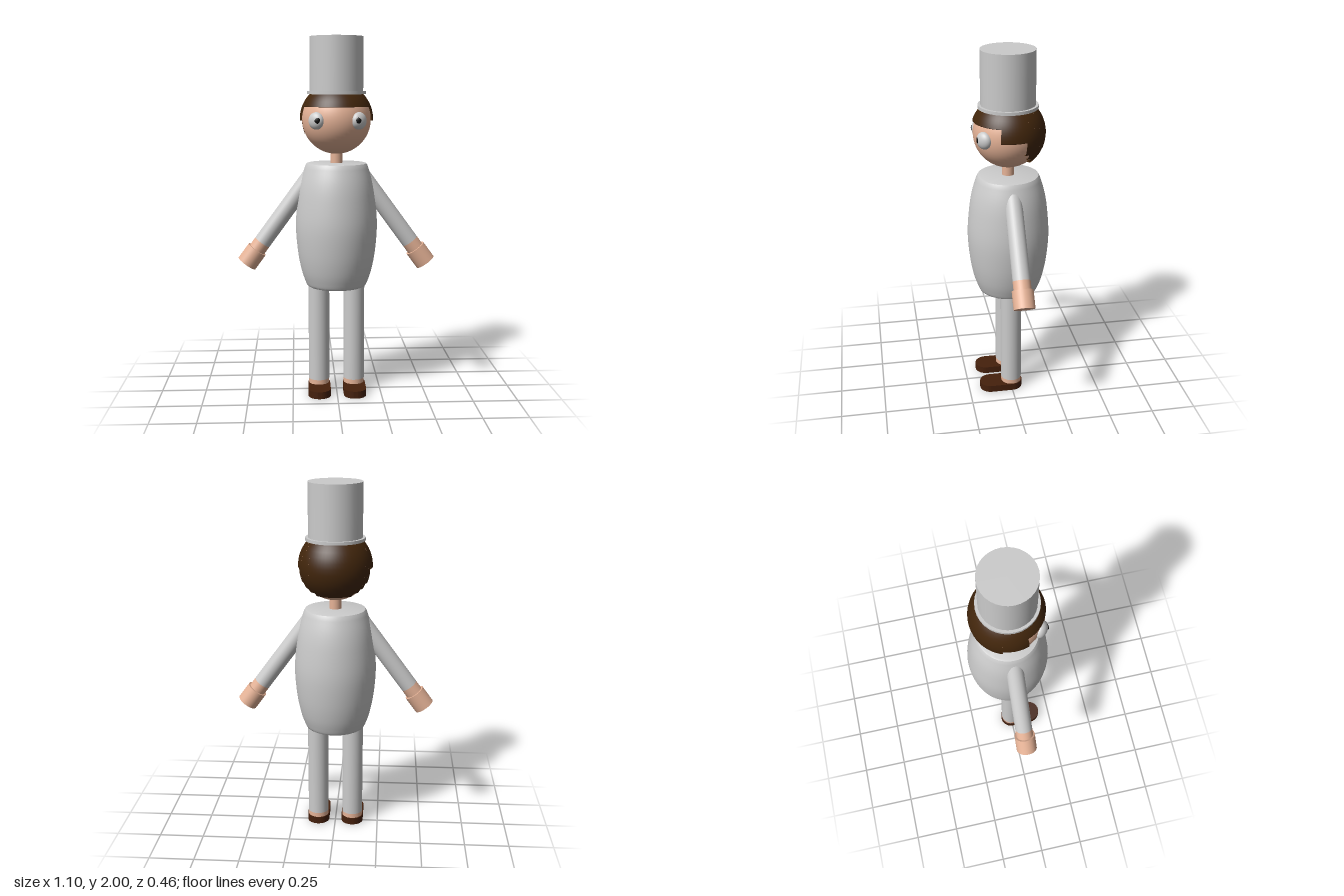
import * as THREE from 'three';
import { toCreasedNormals } from 'three/addons/utils/BufferGeometryUtils.js';

const material = (color, side = THREE.FrontSide) =>
  new THREE.MeshStandardMaterial({ color, side });

export function createModel() {
  const model = new THREE.Group();
  const grey = material(0xcccccc);
  const skin = material(0xe6b397);
  const hairBrown = material(0x42260c, THREE.DoubleSide);
  const shoeBrown = material(0x45200c);
  const black = material(0x080808);

  const add = (name, geometry, mat, x = 0, y = 0, z = 0, parent = model) => {
    const mesh = new THREE.Mesh(geometry, mat);
    mesh.name = name;
    mesh.position.set(x, y, z);
    parent.add(mesh);
    return mesh;
  };
  // upright cylinder between two heights
  const column = (name, r, y0, y1, mat, x = 0, parent = model) =>
    add(name, new THREE.CylinderGeometry(r, r, y1 - y0, 32), mat, x, (y0 + y1) / 2, 0, parent);

  // barrel-shaped torso with softened rims
  const side = new THREE.SplineCurve([
    [0.172, 0.63], [0.196, 0.7], [0.217, 0.81], [0.228, 0.96],
    [0.217, 1.11], [0.2, 1.21], [0.174, 1.295],
  ].map(([r, y]) => new THREE.Vector2(r, y))).getPoints(24);
  const torsoProfile = [
    new THREE.Vector2(0, 0.613), new THREE.Vector2(0.157, 0.613), new THREE.Vector2(0.166, 0.618),
    ...side,
    new THREE.Vector2(0.167, 1.307), new THREE.Vector2(0.157, 1.31), new THREE.Vector2(0, 1.31),
  ];
  add('torso', toCreasedNormals(new THREE.LatheGeometry(torsoProfile, 48), 0.6), grey);

  // neck, head and hat
  const headY = 1.55;
  column('neck', 0.034, 1.3, 1.39, skin);
  add('head', new THREE.SphereGeometry(0.19, 48, 32), skin, 0, headY, 0);
  column('hatBrim', 0.163, 1.688, 1.705, grey);
  column('hatCrown', 0.148, 1.7, 2, grey);

  // hair: shell panels around the head, each cut off at its own height
  const hair = new THREE.Group();
  hair.name = 'hair';
  model.add(hair);
  const hairR = 0.203;
  const panel = (from, to, bottomY) => {
    const low = Math.acos((bottomY - headY) / hairR);
    const innerR = Math.sqrt(0.188 ** 2 - (bottomY - headY) ** 2);
    const points = [new THREE.Vector2(innerR, bottomY)];
    for (const t of [0, 0.01, ...Array.from({ length: 16 }, (_, i) => (i + 1) / 16)]) {
      const a = low * (1 - t);
      points.push(new THREE.Vector2(hairR * Math.sin(a), headY + hairR * Math.cos(a)));
    }
    const rad = THREE.MathUtils.degToRad;
    const segments = Math.max(2, Math.round((to - from) / 6));
    add('hairPanel', new THREE.LatheGeometry(points, segments, rad(from), rad(to - from)),
      hairBrown, 0, 0, 0, hair);
  };
  panel(-70, 70, 1.62);
  panel(138, 222, 1.402);
  const sidePanels = [[70, 110, 1.545], [110, 117, 1.47], [117, 125, 1.44], [125, 138, 1.42]];
  for (const [from, to, y] of sidePanels) {
    panel(from, to, y);
    panel(360 - to, 360 - from, y);
  }

  // stadium-shaped shoe sole outline
  const shoeShape = new THREE.Shape();
  shoeShape.absarc(0, 0, 0.063, 0, Math.PI, false);
  shoeShape.absarc(0, -0.122, 0.063, Math.PI, Math.PI * 2, false);
  const shoeGeometry = toCreasedNormals(new THREE.ExtrudeGeometry(shoeShape,
    { depth: 0.04, bevelEnabled: false, curveSegments: 20 }).rotateX(-Math.PI / 2), 0.6);

  const down = new THREE.Vector3(0, -1, 0);
  for (const s of [1, -1]) {
    const label = s > 0 ? 'left' : 'right';

    // eye: flattened ball turned outwards, with a forward-facing pupil
    const eye = add(label + 'Eye', new THREE.SphereGeometry(0.047, 32, 20), grey, s * 0.115, 1.547, 0.147);
    eye.scale.z = 0.68;
    eye.rotation.y = s * 0.66;
    const pupil = add(label + 'Pupil', new THREE.SphereGeometry(0.016, 20, 12), black, s * 0.109, 1.549, 0.182);
    pupil.scale.z = 0.3;

    // arm: sleeve, wrist and hand along one slanted axis
    const arm = new THREE.Group();
    arm.name = label + 'Arm';
    arm.position.set(s * 0.122, 1.267, 0);
    arm.quaternion.setFromUnitVectors(down, new THREE.Vector3(s * 0.59, -0.807, 0).normalize());
    model.add(arm);
    column('sleeve', 0.048, -0.5, 0, grey, 0, arm);
    column('wrist', 0.048, -0.56, -0.5, skin, 0, arm);
    column('hand', 0.058, -0.65, -0.55, skin, 0, arm);

    // leg: trouser, ankle running through the shoe, and shoe
    const leg = new THREE.Group();
    leg.name = label + 'Leg';
    leg.position.x = s * 0.1;
    model.add(leg);
    column('trouser', 0.059, 0.068, 0.63, grey, 0, leg);
    column('ankle', 0.058, 0, 0.068, skin, 0, leg);
    add('shoe', shoeGeometry, shoeBrown, 0, 0.002, 0, leg);
  }
  return model;
}
